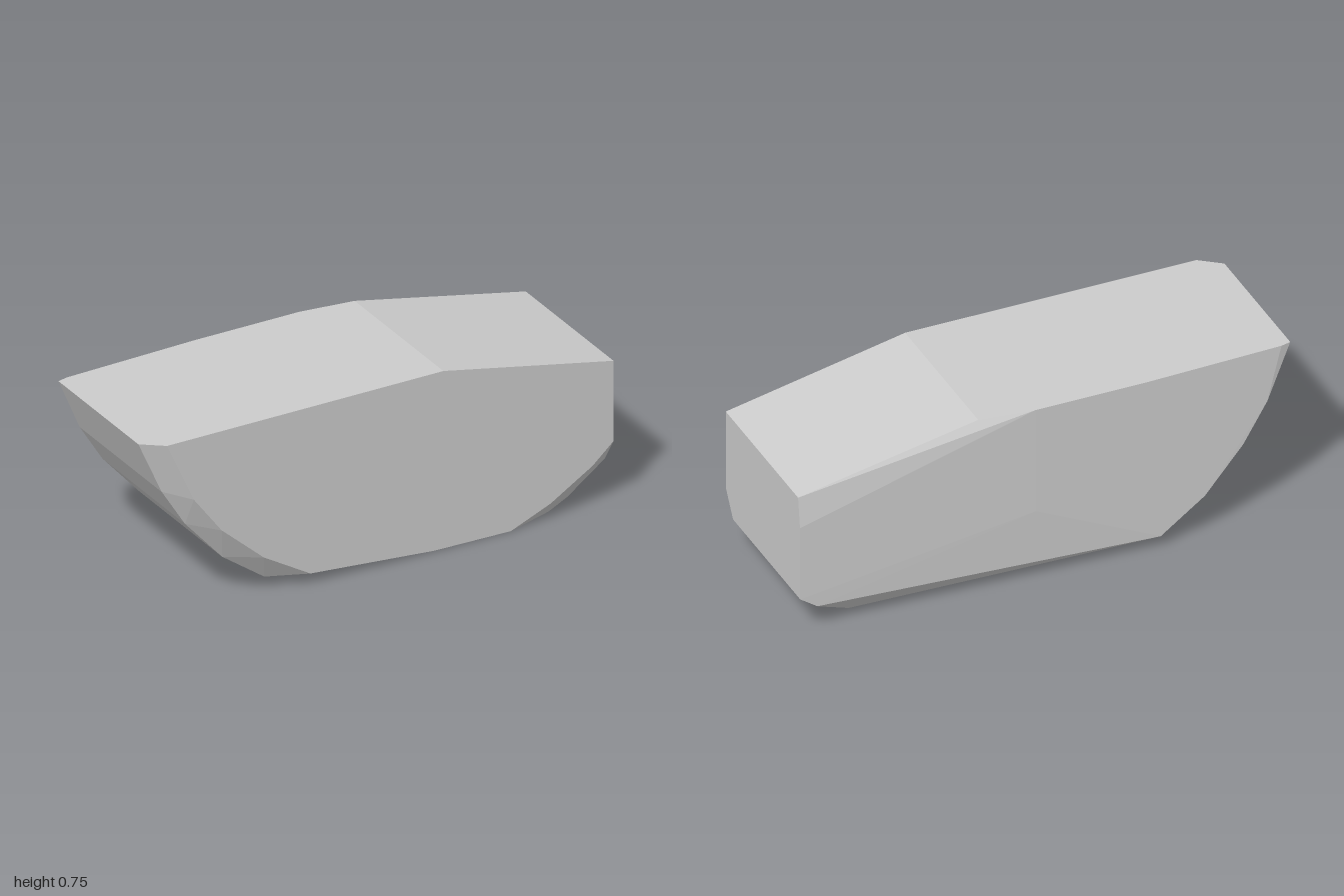
import * as THREE from 'three';
import { ConvexGeometry } from 'three/addons/geometries/ConvexGeometry.js';

export function createModel() {
  const stone = new THREE.MeshStandardMaterial({ color: 0xcccccc });
  stone.name = 'light grey';

  // flat front face, inset along its curved lower edges
  const frontFace = [
    [-0.915, 0.745], [0.27, 0.745], [1, 0.595], [1, 0.26], [0.91, 0.18], [0.73, 0.07],
    [0.56, 0], [0.23, 0.005], [-0.3, 0.05], [-0.5, 0.17], [-0.68, 0.33], [-0.8, 0.49],
  ].map(([x, y]) => new THREE.Vector3(x, y, 0.34));

  // full outline where the front bevel ends
  const bevelEdge = [
    [-1, 0.745], [-0.9, 0.52], [-0.8, 0.36], [-0.64, 0.18], [-0.46, 0.05],
    [0.23, 0.005], [0.76, 0], [0.84, 0.04], [1, 0.157],
  ].map(([x, y]) => new THREE.Vector3(x, y, 0.275));

  // slightly bulging back with a chipped lower edge
  const back = [
    [-1, 0.745, -0.31], [-0.96, 0.745, -0.32], [-0.4, 0.745, -0.338], [0.05, 0.745, -0.338],
    [0.27, 0.745, -0.31], [1, 0.595, -0.303], [1, 0.47, -0.32], [1, 0.157, -0.322],
    [0.93, 0.108, -0.322], [0.76, 0, -0.23], [0.23, 0.005, -0.25], [-0.46, 0.05, -0.338],
    [-0.64, 0.18, -0.338], [-0.8, 0.36, -0.33], [-0.9, 0.52, -0.325], [0.05, 0.3, -0.34],
  ].map((p) => new THREE.Vector3(...p));

  const block = new THREE.Mesh(new ConvexGeometry([...frontFace, ...bevelEdge, ...back]), stone);
  block.name = 'stoneBlock';

  const model = new THREE.Group();
  model.name = 'cutStone';
  model.add(block);
  return model;
}
